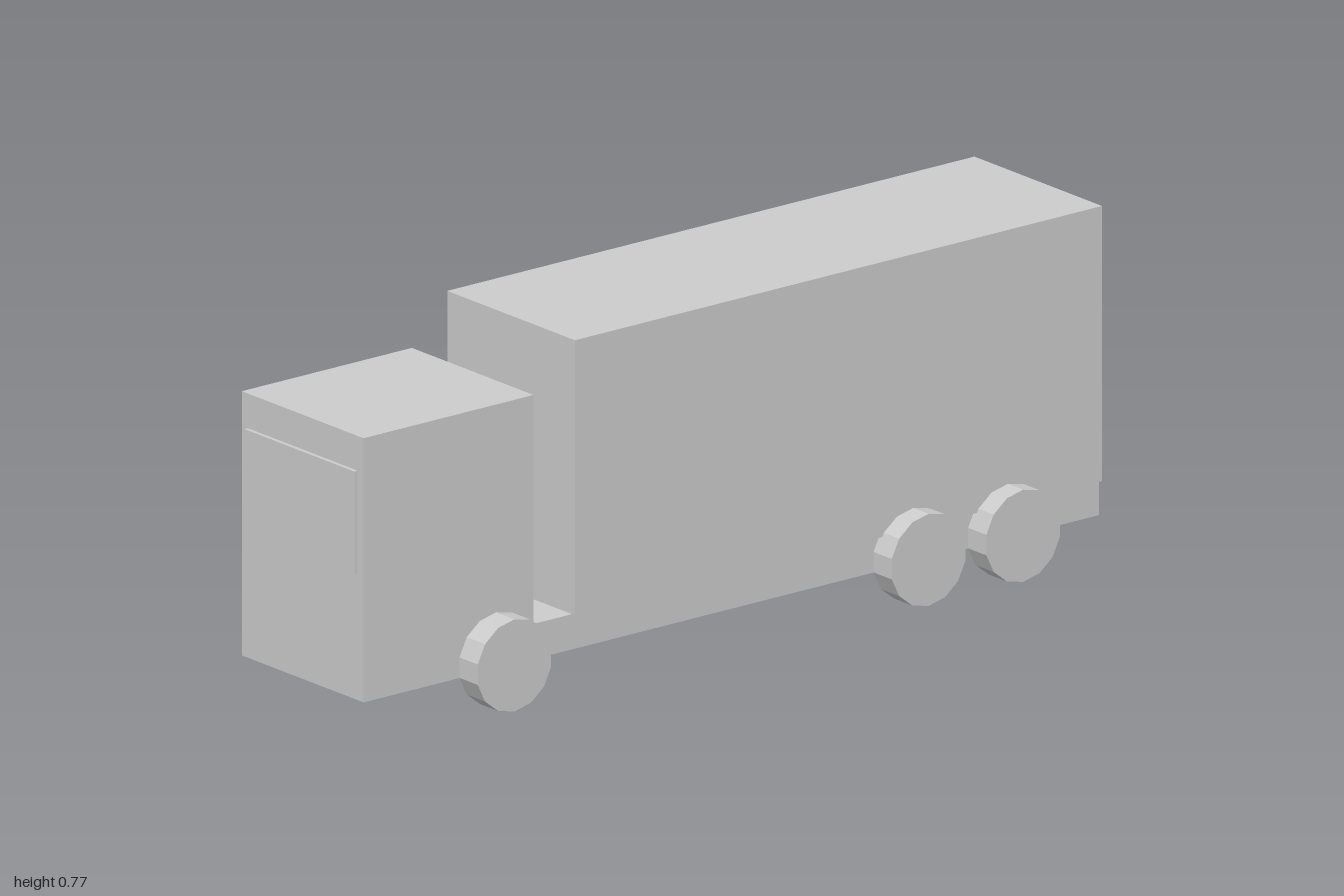
import * as THREE from 'three';

export function createModel() {
  const truck = new THREE.Group();
  truck.name = 'boxTruck';

  const grey = new THREE.MeshStandardMaterial({ color: 0xcccccc });
  grey.name = 'plainGrey';

  // Box given by half width and its y and z ranges
  function block(name, halfWidth, y0, y1, z0, z1) {
    const mesh = new THREE.Mesh(new THREE.BoxGeometry(halfWidth * 2, y1 - y0, z1 - z0), grey);
    mesh.position.set(0, (y0 + y1) / 2, (z0 + z1) / 2);
    mesh.name = name;
    truck.add(mesh);
  }

  block('chassis', 0.203, 0.079, 0.157, -1, 0.531);
  block('cab', 0.203, 0.079, 0.664, 0.531, 0.991);
  block('windscreen', 0.183, 0.358, 0.587, 0.991, 1);
  block('cargoBox', 0.213, 0.157, 0.766, -1, 0.427);

  // Wheels: 14 flat facets with a corner at the top
  const radius = 0.102;
  const wheelGeometry = new THREE.CylinderGeometry(radius, radius, 0.061, 14).toNonIndexed();
  wheelGeometry.rotateY(Math.PI / 2);
  wheelGeometry.rotateZ(Math.PI / 2);
  // Corner alignment: turn about the axle so one corner points straight up
  const p = wheelGeometry.attributes.position;
  let corner = 0;
  for (let i = 0; i < p.count; i++) if (p.getY(i) > p.getY(corner)) corner = i;
  wheelGeometry.rotateX(-Math.atan2(p.getZ(corner), p.getY(corner)));
  wheelGeometry.computeVertexNormals();

  const axles = { front: 0.632, middle: -0.489, rear: -0.745 };
  for (const [name, z] of Object.entries(axles)) {
    for (const side of [-1, 1]) {
      const wheel = new THREE.Mesh(wheelGeometry, grey);
      wheel.position.set(side * 0.2335, radius, z);
      wheel.name = name + (side > 0 ? 'LeftWheel' : 'RightWheel');
      truck.add(wheel);
    }
  }

  return truck;
}
